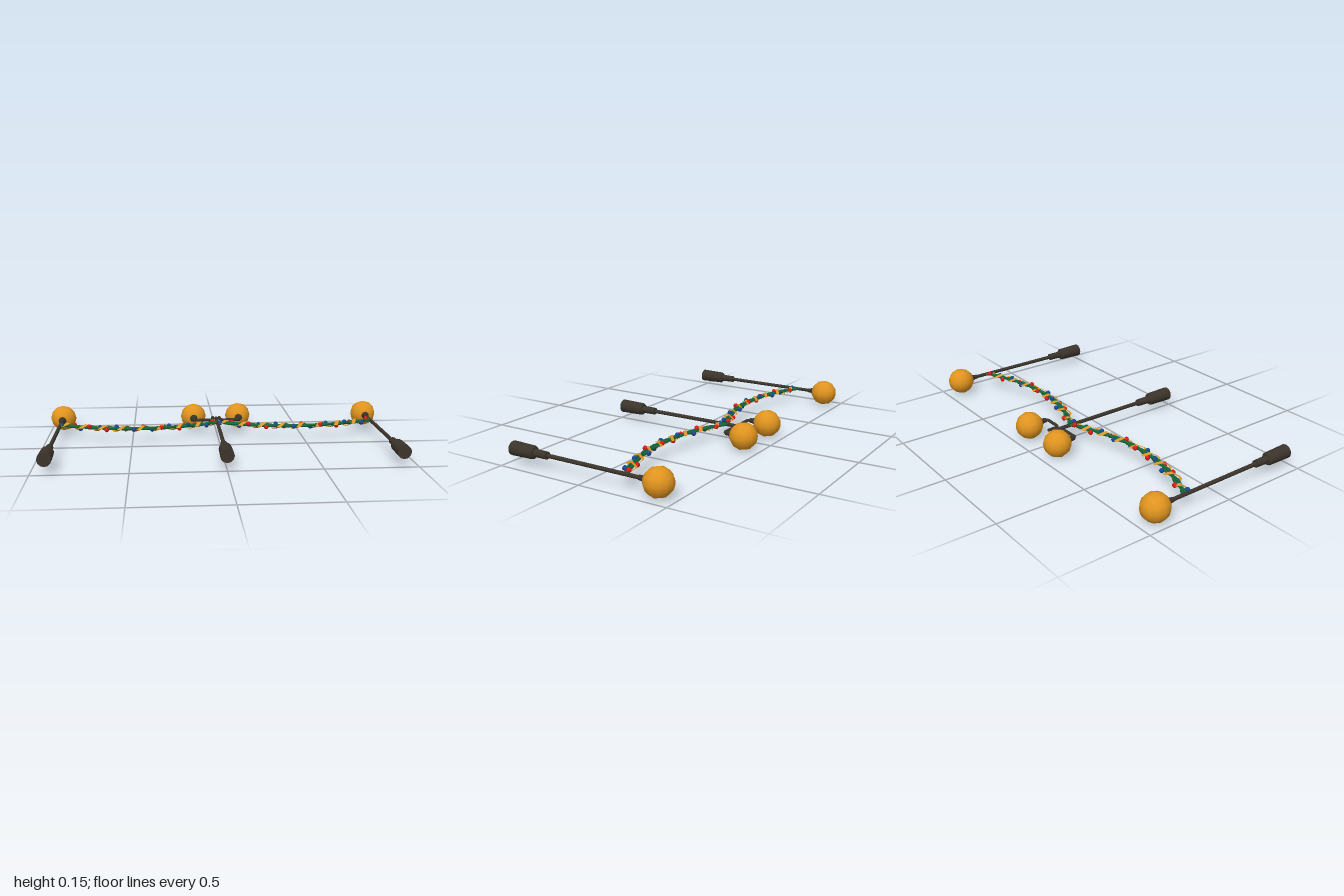
import * as THREE from 'three';

const mat = (name, color, extra = {}) =>
  Object.assign(new THREE.MeshStandardMaterial({ color, ...extra }), { name });

export function createModel() {
  const iron = mat('darkIron', 0x3b342b);
  const amber = mat('amberGlass', 0xe2951f);
  const gold = mat('goldRibbon', 0xdc9426, { side: THREE.DoubleSide, flatShading: true });
  const green = mat('garlandGreen', 0x16683a);
  const red = mat('redBauble', 0xe01a10);
  const blue = mat('blueBauble', 0x174a94);

  const model = new THREE.Group();
  model.name = 'garlandedLampPosts';
  const AXIS = 0.079;

  const add = (parent, name, geo, material, x = 0, y = 0, z = 0) => {
    const m = new THREE.Mesh(geo, material);
    m.name = name;
    m.position.set(x, y, z);
    parent.add(m);
    return m;
  };
  // Tapered section between two heights on the post axis
  const section = (parent, name, y0, y1, r0, r1, x = 0) =>
    add(parent, name, new THREE.CylinderGeometry(r1, r0, y1 - y0, 12), iron, x, (y0 + y1) / 2, 0);

  // Globe lamp with its flared cup
  const lamp = (parent, x) => {
    section(parent, 'lampNeck', 0.3, 0.316, 0.013, 0.014, x);
    section(parent, 'lampCup', 0.316, 0.345, 0.014, 0.026, x);
    add(parent, 'lampGlobe', new THREE.SphereGeometry(0.076, 12, 6), amber, x, 0.407, 0);
  };

  // Posts are modelled upright, then laid down with the globes to the back
  const post = (name, x, top) => {
    const g = new THREE.Group();
    g.name = name;
    g.position.set(x, AXIS, 0);
    g.rotation.x = -Math.PI / 2;
    section(g, 'base', -0.482, -0.345, 0.038, 0.035);
    section(g, 'baseShoulder', -0.345, -0.336, 0.035, 0.029);
    section(g, 'collar', -0.336, -0.255, 0.021, 0.02);
    section(g, 'pole', -0.255, top, 0.011, 0.01);
    model.add(g);
    return g;
  };
  for (const s of [-1, 1]) lamp(post(s < 0 ? 'rightPost' : 'leftPost', s * 0.924, 0.31), 0);

  // Centre post with two curved lamp arms
  const centre = post('centrePost', 0.001, 0.34);
  section(centre, 'poleTip', 0.33, 0.346, 0.011, 0.008);
  const bracket = add(centre, 'armBracket', new THREE.CylinderGeometry(0.006, 0.006, 0.05, 8), iron, 0, 0.325, 0);
  bracket.rotation.z = Math.PI / 2;
  for (const s of [-1, 1]) {
    const pts = [[0.02, 0.355], [0.022, 0.33], [0.024, 0.305], [0.036, 0.291], [0.06, 0.29],
      [0.1, 0.29], [0.125, 0.29], [0.135, 0.298], [0.136, 0.318]];
    const path = new THREE.CatmullRomCurve3(pts.map(([x, y]) => new THREE.Vector3(s * x, y, 0)));
    add(centre, 'lampArm', new THREE.TubeGeometry(path, 28, 0.0085, 8), iron);
    add(centre, 'armTip', new THREE.SphereGeometry(0.009, 8, 6), iron, s * 0.02, 0.355, 0);
    lamp(centre, s * 0.136);
  }

  // Garland swags between neighbouring posts
  const SPAN = 0.925;
  const swag = (name, x0) => {
    const g = new THREE.Group();
    g.name = name;
    g.position.set(x0, AXIS + 0.002, 0);
    model.add(g);
    const sag = t => new THREE.Vector3(t * SPAN, 0, -0.225 + 0.47 * t * (1 - t));
    const side = t => {
      const slope = 0.47 * (1 - 2 * t) / SPAN;
      return new THREE.Vector3(-slope, 0, 1).normalize();
    };
    // Point beside the swag line, at an angle around a flattened ring
    const around = (t, a, rz, ry) =>
      sag(t).addScaledVector(side(t), rz * Math.cos(a)).add(new THREE.Vector3(0, ry * Math.sin(a), 0));

    // Two intertwined green strands
    for (const phase of [0, Math.PI]) {
      const pts = [];
      for (let i = 0; i <= 40; i++) pts.push(around(i / 40, phase + i * 0.7, 0.009, 0.002));
      add(g, 'greenStrand', new THREE.TubeGeometry(new THREE.CatmullRomCurve3(pts), 80, 0.008, 6), green);
    }

    // Wide gold ribbon wound in angular turns outside the strands
    const STEPS = 8 * 4, verts = [], index = [];
    for (let i = 0; i <= STEPS; i++) {
      const t = 0.03 + 0.94 * i / STEPS, a = i * Math.PI / 2;
      for (const w of [-0.012, 0.012]) {
        verts.push(...around(t + w / SPAN, a, 0.034, 0.018).toArray());
      }
      if (i < STEPS) {
        const k = i * 2;
        index.push(k, k + 1, k + 2, k + 1, k + 3, k + 2);
      }
    }
    const ribbon = new THREE.BufferGeometry();
    ribbon.setAttribute('position', new THREE.Float32BufferAttribute(verts, 3));
    ribbon.setIndex(index);
    ribbon.computeVertexNormals();
    add(g, 'goldRibbon', ribbon, gold);

    // Red and blue baubles alternating around the garland
    const ball = new THREE.SphereGeometry(0.0135, 8, 6);
    const COUNT = 18;
    for (let i = 0; i < COUNT; i++) {
      const p = around((i + 0.5) / COUNT, i * 2.3 + 0.5, 0.025, 0.009);
      add(g, i % 2 ? 'redBauble' : 'blueBauble', ball, i % 2 ? red : blue, p.x, p.y, p.z);
    }
  };
  swag('rightGarland', -SPAN);
  swag('leftGarland', 0);

  return model;
}
